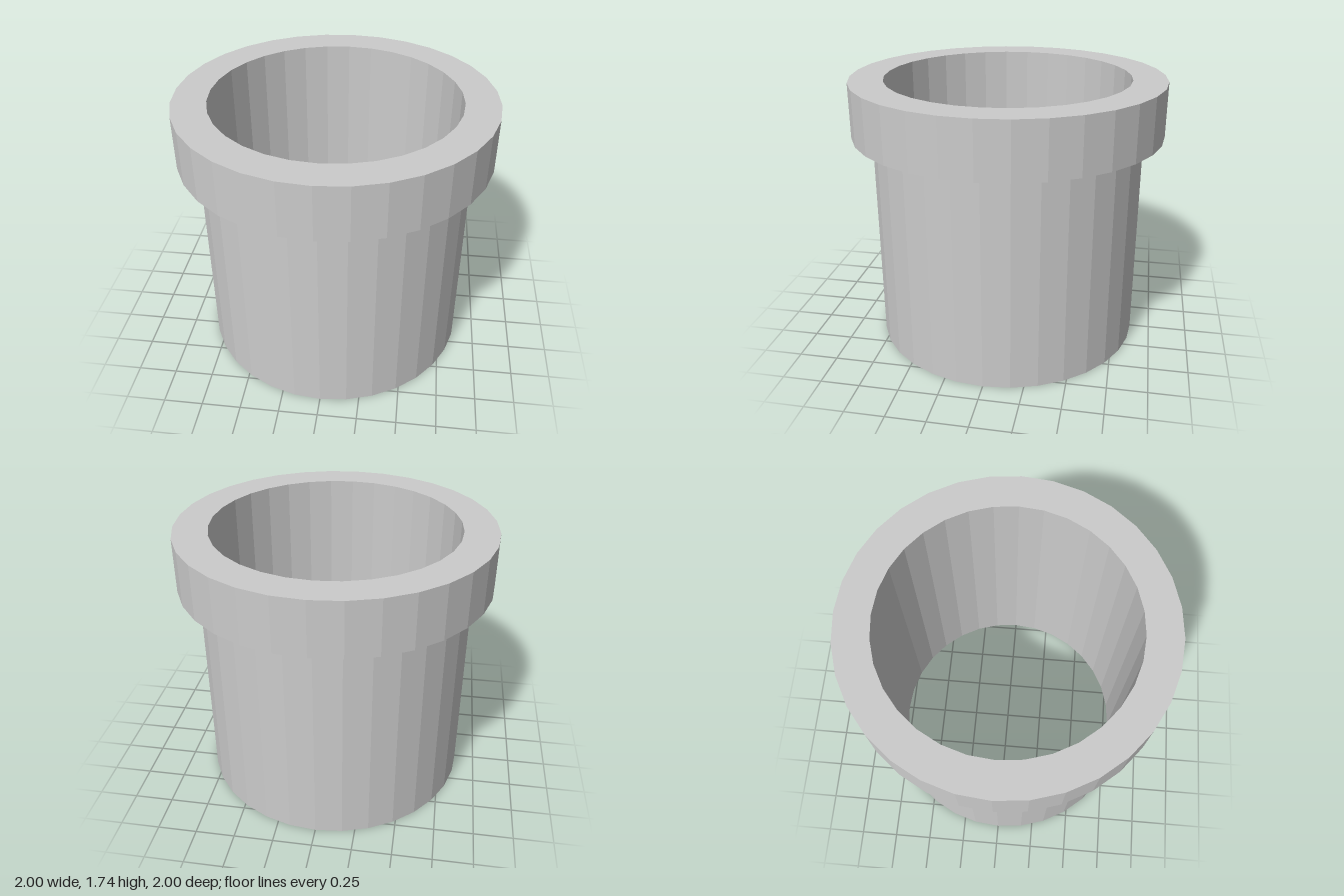
import * as THREE from 'three';

const SIDES = 32;
const BORE = 0.783, SLEEVE = 0.87, FLANGE = 1;
const FLANGE_BOTTOM = 1.391, TOP = 1.739;

export function createModel() {
  const group = new THREE.Group();
  group.name = 'flangedBushing';

  // Closed wall section: bottom rim, sleeve, flange, top rim, then down the bore
  const section = [
    [BORE, 0], [SLEEVE, 0],
    [SLEEVE, FLANGE_BOTTOM], [FLANGE, FLANGE_BOTTOM],
    [FLANGE, TOP], [BORE, TOP], [BORE, 0],
  ].map(([r, y]) => new THREE.Vector2(r, y));

  const material = new THREE.MeshStandardMaterial({ color: 0xcccccc, flatShading: true });
  const bushing = new THREE.Mesh(new THREE.LatheGeometry(section, SIDES), material);
  bushing.name = 'bushingSleeveWithFlange';
  group.add(bushing);
  return group;
}
